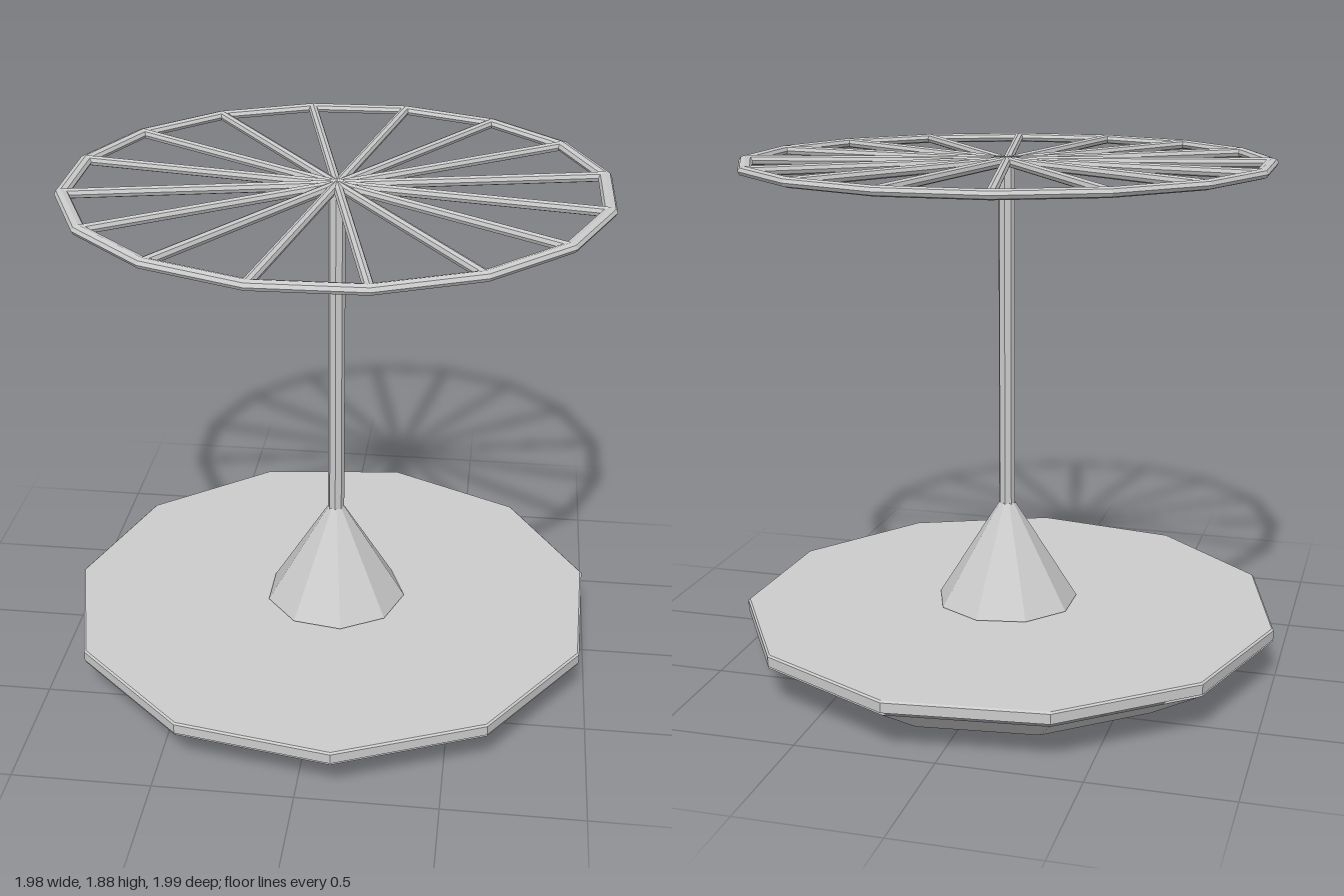
import * as THREE from 'three';

const RAD = Math.PI / 180;
const POLE_X = 0.03, POLE_Z = 0.005, WHEEL_Y = 1.865;
const BASE_X = 0.014, BASE_Z = -0.005;

export function createModel() {
  const model = new THREE.Group();
  model.name = 'wheelStand';
  const material = new THREE.MeshStandardMaterial({ color: 0xcccccc, flatShading: true });
  const shellMaterial = material.clone();
  shellMaterial.side = THREE.DoubleSide;

  const add = (name, geometry, x, y, z, parent = model) => {
    const mesh = new THREE.Mesh(geometry, material);
    mesh.name = name;
    mesh.position.set(x, y, z);
    parent.add(mesh);
    return mesh;
  };

  // Faceted frustum between two heights; corner = angle of one corner from +x toward +z
  const frustum = (name, rTop, rBottom, y0, y1, sides, corner, x, z, open = false) =>
    add(name, new THREE.CylinderGeometry(rTop, rBottom, y1 - y0, sides, 1, open, (90 - corner) * RAD),
      x, (y0 + y1) / 2, z);

  // Eleven-sided base: open tapered skirt, then a slab with a slim bevel
  frustum('baseSkirt', 1.005, 0.765, 0, 0.148, 11, 18.2, BASE_X, BASE_Z, true).material = shellMaterial;
  frustum('baseSlab', 1.007, 1.007, 0.155, 0.191, 11, 18.2, BASE_X, BASE_Z);
  frustum('baseSlabBevel', 1, 1.007, 0.191, 0.197, 11, 18.2, BASE_X, BASE_Z);

  // Nine-sided cone carrying the pole
  frustum('poleCone', 0.03, 0.267, 0.204, 0.588, 9, 0, POLE_X, POLE_Z);
  frustum('pole', 0.031, 0.031, 0.58, WHEEL_Y, 8, 0, POLE_X, POLE_Z);

  // Sixteen-sided wheel with a spoke to each corner
  const wheel = new THREE.Group();
  wheel.name = 'wheel';
  wheel.position.set(POLE_X, WHEEL_Y, POLE_Z);
  wheel.rotation.y = -10.1 * RAD;
  model.add(wheel);

  // Rim tube is a little wider than it is tall
  const rimRadius = 0.943;
  const rim = new THREE.TorusGeometry(rimRadius, 0.025, 8, 16).rotateX(Math.PI / 2).scale(1, 0.7, 1);
  add('rim', rim, 0, 0, 0, wheel);

  // Each bar runs across the hub and forms two opposite spokes
  for (let i = 0; i < 8; i++) {
    const bar = new THREE.CylinderGeometry(0.018, 0.018, rimRadius * 2, 8).rotateZ(Math.PI / 2);
    add('spokePair', bar, 0, 0, 0, wheel).rotation.y = i * Math.PI / 8;
  }
  return model;
}
